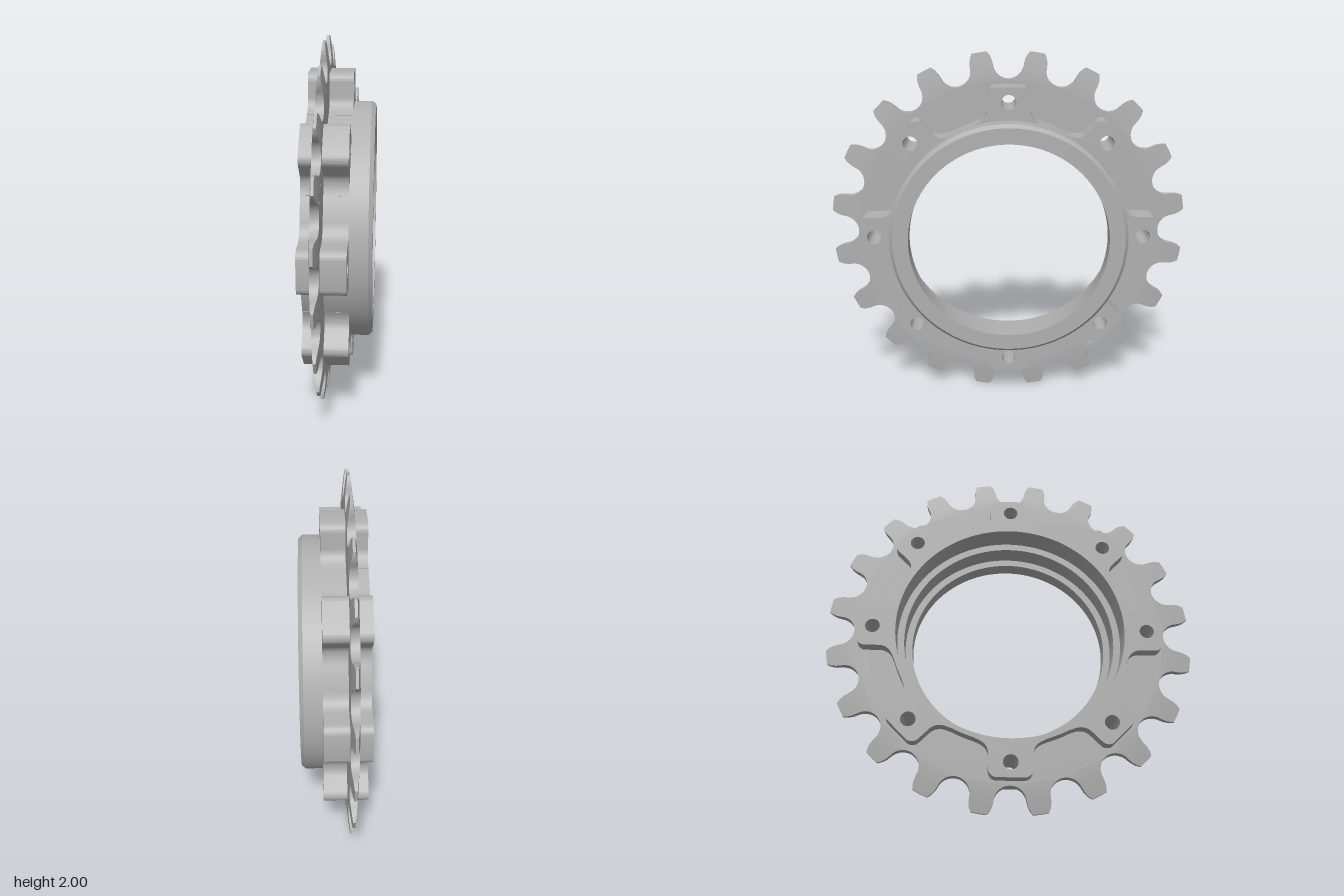
import * as THREE from 'three';
import { toCreasedNormals } from 'three/addons/utils/BufferGeometryUtils.js';

const TEETH = 20, LUGS = 8;
const PLATE_X = -0.09, PLATE_HALF = 0.023;
const HOLE_R = 0.75, HOLE_SIZE = 0.04;

// Extrude a (tangent, radial) shape along x, from x0 to x1
function extrudeAlongX(shape, x0, x1, curveSegments) {
  const g = new THREE.ExtrudeGeometry(shape, { depth: x1 - x0, bevelEnabled: false, curveSegments });
  g.translate(0, 0, x0);
  g.rotateY(Math.PI / 2);
  return toCreasedNormals(g, 0.6);
}

function boltHole(angle) {
  const p = new THREE.Path();
  p.absarc(HOLE_R * Math.sin(angle), HOLE_R * Math.cos(angle), HOLE_SIZE, 0, Math.PI * 2, true);
  return p;
}

// Stepped ring with a chamfered front lip
function hubGeometry() {
  const profile = [
    [0.626, -0.18], [0.652, -0.18], [0.655, 0.155], [0.636, 0.176], [0.55, 0.176],
    [0.55, 0.085], [0.588, 0.085], [0.588, -0.035], [0.626, -0.035], [0.626, -0.18],
  ].map(([r, x]) => new THREE.Vector2(r, x));
  const g = new THREE.LatheGeometry(profile, 96);
  g.rotateZ(-Math.PI / 2);
  return toCreasedNormals(g, 0.5);
}

// Flat inner part of the toothed plate
function webGeometry() {
  const s = new THREE.Shape();
  s.absarc(0, 0, 0.845, 0, Math.PI * 2, false);
  const bore = new THREE.Path();
  bore.absarc(0, 0, 0.64, 0, Math.PI * 2, true);
  s.holes.push(bore);
  for (let i = 0; i < LUGS; i++) s.holes.push(boltHole(i * Math.PI * 2 / LUGS));
  return extrudeAlongX(s, PLATE_X - PLATE_HALF, PLATE_X + PLATE_HALF, 48);
}

// Toothed rim: round gaps between teeth that thin towards their tips
function teethGeometry() {
  const half = [];
  for (let i = 0; i <= 8; i++) {
    const a = THREE.MathUtils.degToRad(-90 + i * 10.6);
    half.push([0.085 * Math.cos(a), 0.94 + 0.085 * Math.sin(a)]);
  }
  half.push([0.09, 0.955], [0.1, 0.978], [0.117, 1.0]);
  const polar = half.map(([t, r]) => [Math.atan2(t, r), Math.hypot(t, r)]);
  const sector = [
    ...polar.slice(1).reverse().map(([a, r]) => [-a, r]),
    ...polar,
    [Math.PI / TEETH, 1.007],
  ];
  const steps = 4, ring = 2 * (steps + 1);
  const pos = [], index = [];
  for (let n = 0; n < TEETH; n++) {
    for (const [a, rim] of sector) {
      const angle = a + n * Math.PI * 2 / TEETH;
      for (let k = 0; k < ring; k++) {
        const front = k <= steps;
        const r = THREE.MathUtils.lerp(0.84, rim, (front ? k : ring - 1 - k) / steps);
        const t = Math.max(0, (r - 0.85) / 0.157);
        const h = PLATE_HALF - 0.016 * Math.pow(t, 1.4);
        pos.push(PLATE_X + (front ? h : -h), r * Math.cos(angle), r * Math.sin(angle));
      }
    }
  }
  const columns = TEETH * sector.length;
  for (let i = 0; i < columns; i++) {
    const p = i * ring, q = ((i + 1) % columns) * ring;
    for (let k = 0; k < ring - 1; k++) {
      index.push(p + k, p + k + 1, q + k + 1, p + k, q + k + 1, q + k);
    }
  }
  const g = new THREE.BufferGeometry();
  g.setAttribute('position', new THREE.Float32BufferAttribute(pos, 3));
  g.setIndex(index);
  return toCreasedNormals(g, 0.5);
}

// Bolt lug with rounded corners and a flared foot on the hub
function lugGeometry() {
  const s = new THREE.Shape();
  const foot = 0.29;
  s.absarc(0, 0, 0.64, Math.PI / 2 + foot, Math.PI / 2 - foot, true);
  s.lineTo(0.187, 0.627);
  s.quadraticCurveTo(0.115, 0.65, 0.115, 0.71);
  s.lineTo(0.115, 0.785);
  s.absarc(0.07, 0.785, 0.045, 0, Math.PI / 2, false);
  s.lineTo(-0.07, 0.83);
  s.absarc(-0.07, 0.785, 0.045, Math.PI / 2, Math.PI, false);
  s.lineTo(-0.115, 0.71);
  s.quadraticCurveTo(-0.115, 0.65, -0.187, 0.627);
  s.holes.push(boltHole(0));
  return extrudeAlongX(s, -0.18, 0.06, 12);
}

export function createModel() {
  const model = new THREE.Group();
  model.name = 'sprocket';
  const steel = new THREE.MeshStandardMaterial({ color: 0xb0b0b0 });
  steel.name = 'grey steel';

  const add = (name, geometry) => {
    const mesh = new THREE.Mesh(geometry, steel);
    mesh.name = name;
    mesh.position.y = 1;
    model.add(mesh);
    return mesh;
  };

  add('hubRing', hubGeometry());
  add('plateWeb', webGeometry());
  add('toothedRim', teethGeometry());
  const lug = lugGeometry();
  for (let i = 0; i < LUGS; i++) add('boltLug', lug).rotation.x = i * Math.PI * 2 / LUGS;
  return model;
}
